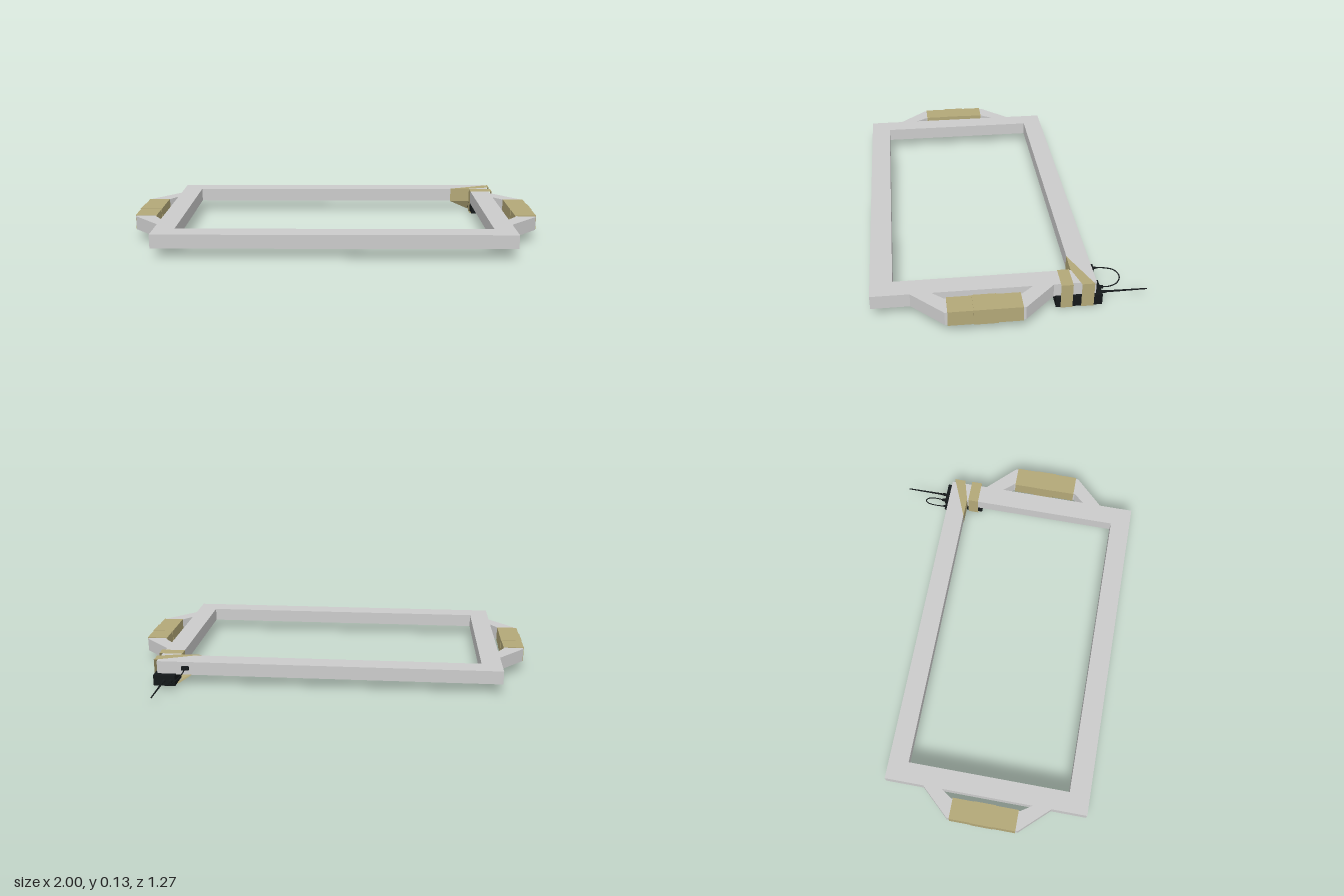
import * as THREE from 'three';

const mat = (color) => new THREE.MeshStandardMaterial({ color, side: THREE.DoubleSide });
const GREY = mat(0xcccccc), TAPE = mat(0xb3a878), BLACK = mat(0x14181a);
const V = (x, y, z) => new THREE.Vector3(x, y, z);

function add(parent, name, geometry, material, pos = [0, 0, 0]) {
  const mesh = new THREE.Mesh(geometry, material);
  mesh.name = name;
  mesh.position.set(...pos);
  parent.add(mesh);
  return mesh;
}

// Box given by its minimum and maximum corners
function box(parent, name, a, b, material) {
  const size = b.map((v, i) => v - a[i]);
  return add(parent, name, new THREE.BoxGeometry(...size), material, b.map((v, i) => (v + a[i]) / 2));
}

// Flat outline in x and z, raised from y0 to y1
function slab(outline, holes, y0, y1) {
  const toShape = (pts) => pts.map(([x, z]) => new THREE.Vector2(x, -z));
  const shape = new THREE.Shape(toShape(outline));
  holes.forEach((h) => shape.holes.push(new THREE.Path(toShape(h))));
  const g = new THREE.ExtrudeGeometry(shape, { depth: y1 - y0, bevelEnabled: false });
  return g.rotateX(-Math.PI / 2).translate(0, y0, 0);
}

// Closed tape band through pairs of edge points
function band(pairs) {
  const pos = [];
  pairs.forEach(([a, b], i) => {
    const [c, d] = pairs[(i + 1) % pairs.length];
    for (const p of [a, b, c, b, d, c]) pos.push(...p);
  });
  const g = new THREE.BufferGeometry();
  g.setAttribute('position', new THREE.Float32BufferAttribute(pos, 3));
  g.computeVertexNormals();
  return g;
}

// Cylinder lying along z
function rod(parent, name, r0, r1, x, y, zNear, zFar, material) {
  const g = new THREE.CylinderGeometry(r1, r0, zNear - zFar, 12).rotateX(-Math.PI / 2);
  return add(parent, name, g, material, [x, y, (zNear + zFar) / 2]);
}

export function createModel() {
  const model = new THREE.Group();
  const Y0 = 0.055, Y1 = 0.122;

  // Rectangular frame
  const rect = (x0, x1, z0, z1) => [[x0, z0], [x1, z0], [x1, z1], [x0, z1]];
  add(model, 'frame', slab(rect(-0.86, 0.85, -0.385, 0.632), [rect(-0.76, 0.75, -0.285, 0.53)], Y0, Y1), GREY);

  // Side handles with three-part tape grips
  for (const [side, s, edge] of [['left', 1, 0.85], ['right', -1, 0.86]]) {
    const handle = new THREE.Group();
    handle.name = side + 'Handle';
    const outline = [
      [edge, -0.19], [0.994, -0.045], [0.994, 0.31], [edge, 0.455],
      [edge, 0.36], [0.897, 0.305], [0.897, -0.04], [edge, -0.095],
    ].map(([x, z]) => [s * x, z]);
    add(handle, 'handleBar', slab(outline, [], Y0, Y1), GREY);
    const cuts = [-0.033, 0.075, 0.185, 0.298];
    for (let i = 0; i < 3; i++) {
      const t = i === 1 ? 0.002 : 0;
      const xs = [s * (0.893 - t), s * (0.998 + t)].sort((a, b) => a - b);
      box(handle, 'gripTape', [xs[0], 0.052 - t, cuts[i]], [xs[1], 0.126 + t, cuts[i + 1]], TAPE);
    }
    model.add(handle);
  }

  // Transmitter box below the back corner
  const unit = new THREE.Group();
  unit.name = 'transmitter';
  box(unit, 'transmitterCase', [0.755, 0.003, -0.414], [0.864, 0.058, -0.2], BLACK);
  rod(unit, 'antennaBase', 0.009, 0.007, 0.81, 0.031, -0.41, -0.44, BLACK);
  rod(unit, 'antenna', 0.005, 0.003, 0.81, 0.031, -0.43, -0.635, BLACK);
  rod(unit, 'casePlug', 0.009, 0.007, 0.775, 0.031, -0.41, -0.436, BLACK);
  box(unit, 'frameSocket', [0.688, 0.082, -0.4], [0.724, 0.1, -0.384], BLACK);
  rod(unit, 'framePlug', 0.007, 0.005, 0.705, 0.091, -0.395, -0.412, BLACK);

  // Looped cable between the two plugs
  const cable = new THREE.CatmullRomCurve3([
    V(0.705, 0.091, -0.4), V(0.704, 0.087, -0.45), V(0.715, 0.077, -0.5), V(0.74, 0.06, -0.519),
    V(0.765, 0.044, -0.505), V(0.776, 0.034, -0.47), V(0.775, 0.031, -0.43),
  ]);
  add(unit, 'cable', new THREE.TubeGeometry(cable, 40, 0.0028, 8), BLACK);
  model.add(unit);

  // Straight strap around the side beam and the box
  const L = 0.748, R = 0.867, T = 0.125, B = 0.001;
  const straight = [[L, T], [R, T], [R, B], [L, B]].map(([x, y]) => [[x, y, -0.276], [x, y, -0.221]]);
  add(model, 'straightStrap', band(straight), TAPE);

  // Diagonal strap around the back beam and the box
  add(model, 'diagonalStrap', band([
    [[0.645, T, -0.283], [0.75, T, -0.283]],
    [[R, T, -0.374], [R, T, -0.316]],
    [[R, B, -0.374], [R, B, -0.316]],
    [[0.75, B, -0.374], [0.75, B, -0.316]],
    [[0.645, 0.053, -0.283], [0.75, 0.053, -0.283]],
  ]), TAPE);

  return model;
}
